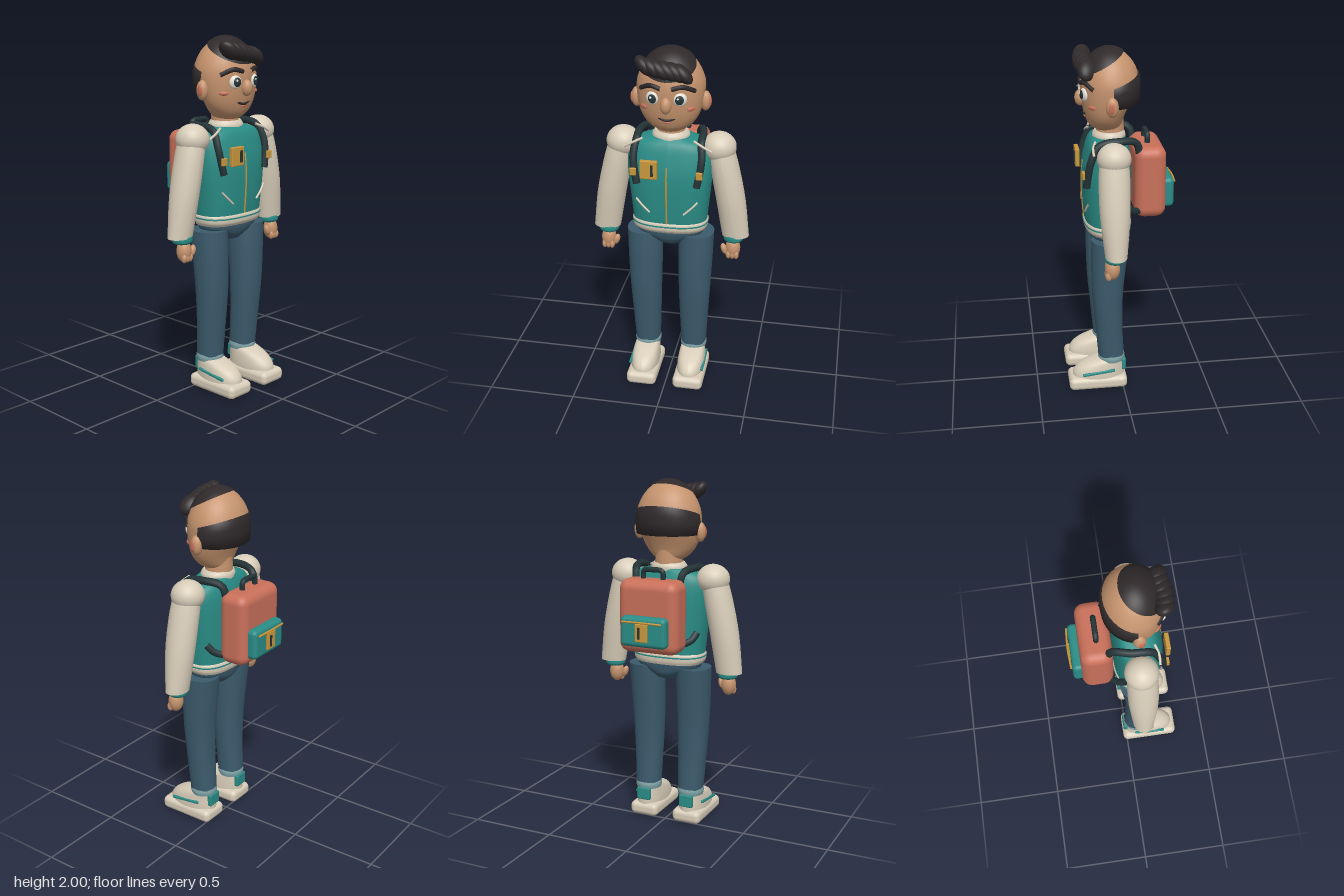
import * as THREE from 'three';
import { RoundedBoxGeometry } from 'three/addons/geometries/RoundedBoxGeometry.js';

const paint = (name, color, side = THREE.FrontSide) => {
  const m = new THREE.MeshStandardMaterial({ color, side });
  m.name = name;
  return m;
};
const V = (p) => new THREE.Vector3(...p);

// Smooth stack of horizontal cross-sections, bottom to top: [y, centreX, halfWidth, zFront, zBack]
function loft(rings, power = 2, steps = 4, seg = 32) {
  const a = new THREE.CatmullRomCurve3(rings.map((r) => V([r[1], r[0], r[2]])), false, 'catmullrom', 0.5);
  const b = new THREE.CatmullRomCurve3(rings.map((r) => V([r[3], r[4], 0])), false, 'catmullrom', 0.5);
  const n = (rings.length - 1) * steps, pos = [], idx = [];
  const bend = (v) => Math.sign(v) * Math.abs(v) ** (2 / power);
  const addRing = (t) => {
    const p = a.getPoint(t), q = b.getPoint(t);
    for (let j = 0; j <= seg; j++) {
      const u = (j % seg) / seg * Math.PI * 2;
      pos.push(p.x + p.z * bend(Math.sin(u)), p.y, (q.x + q.y) / 2 + (q.x - q.y) / 2 * bend(Math.cos(u)));
    }
    return [p.x, p.y, (q.x + q.y) / 2];
  };
  for (let i = 0; i <= n; i++) addRing(i / n);
  const w = seg + 1;
  for (let i = 0; i < n; i++) for (let j = 0; j < seg; j++) {
    const k = i * w + j;
    idx.push(k, k + 1, k + w + 1, k, k + w + 1, k + w);
  }
  for (const t of [0, 1]) {
    const start = pos.length / 3;
    pos.push(...addRing(t));
    for (let j = 0; j < seg; j++) {
      const k = start + j;
      idx.push(start + w, t ? k : k + 1, t ? k + 1 : k);
    }
  }
  const g = new THREE.BufferGeometry();
  g.setAttribute('position', new THREE.Float32BufferAttribute(pos, 3));
  g.setIndex(idx);
  g.computeVertexNormals();
  return g;
}

const box = (w, h, d, r = 0.01) => new RoundedBoxGeometry(w, h, d, 3, r);
const ball = (x, y, z) => new THREE.SphereGeometry(1, 28, 18).scale(x, y, z);
const tube = (pts, r) => new THREE.TubeGeometry(new THREE.CatmullRomCurve3(pts.map(V)), 24, r, 8);

export function createModel() {
  const root = new THREE.Group();
  const skin = paint('skin', 0xc6946e);
  const hair = paint('hair', 0x2f292a, THREE.DoubleSide);
  const teal = paint('teal', 0x2a8c86);
  const cream = paint('cream', 0xd8cdb9);
  const denim = paint('denim', 0x3c5b6d);
  const pale = paint('pale denim', 0x7fa3a6);
  const coral = paint('coral', 0xc9705a);
  const gold = paint('gold', 0xc9973c);
  const dark = paint('dark strap', 0x243437, THREE.DoubleSide);
  const white = paint('eye white', 0xeeeae0);

  const add = (name, geo, mat, p = [0, 0, 0], r = [0, 0, 0]) => {
    const m = new THREE.Mesh(geo, mat);
    m.name = name;
    m.position.set(...p);
    m.rotation.set(...r);
    root.add(m);
    return m;
  };

  // Head and neck
  add('head', loft([
    [1.55, 0, 0.065, 0.13, 0], [1.58, 0, 0.11, 0.168, -0.015], [1.63, 0, 0.15, 0.19, -0.03],
    [1.7, 0, 0.175, 0.205, -0.06], [1.8, 0, 0.186, 0.213, -0.108], [1.87, 0, 0.168, 0.2, -0.098],
    [1.93, 0, 0.132, 0.168, -0.065], [1.975, 0, 0.08, 0.12, -0.015], [2, 0, 0.003, 0.053, 0.047],
  ]), skin);
  add('neck', new THREE.CylinderGeometry(0.075, 0.08, 0.14, 28), skin, [0, 1.545, 0.05]);
  add('nose', ball(0.03, 0.045, 0.032), skin, [0, 1.725, 0.212]);
  add('mouth', tube([[-0.045, 1.648, 0.184], [0, 1.637, 0.195], [0.045, 1.648, 0.184]], 0.007), hair);
  add('lowerLip', ball(0.022, 0.007, 0.006), coral, [0, 1.625, 0.19]);

  // Crown hair, back hair and swept quiff
  const crown = new THREE.SphereGeometry(1, 36, 14, 0, Math.PI * 2, 0, 0.83);
  add('crownHair', crown.rotateX(0.375).scale(0.191, 0.235, 0.172), hair, [0, 1.768, 0.052]);
  const back = new THREE.LatheGeometry(
    [[0.7, 0], [0.97, 0], [1, 0.07], [1, 0.11], [0.96, 0.165], [0.85, 0.168]].map((p) => new THREE.Vector2(...p)),
    32, Math.PI / 2, Math.PI).scale(0.193, 1, 0.169);
  const bp = back.attributes.position;
  for (let i = 0; i < bp.count; i++) bp.setY(i, bp.getY(i) * (1 - (bp.getZ(i) + 0.169) * 1.9));
  back.computeVertexNormals();
  add('backHair', back, hair, [0, 1.7, 0.052]);
  for (let i = 0; i < 6; i++) {
    const x = -0.115 + i * 0.04, y = 1.93 - i * 0.007;
    add('quiffLock', ball(0.036, 0.066, 0.05), hair, [x, y, 0.19 + 0.008 * Math.sin(i)], [-0.35, 0, 0.8]);
  }

  // Torso, collar, hem and trousers top
  add('vest', loft([
    [0.98, 0, 0.205, 0.195, -0.055], [1.12, 0, 0.218, 0.208, -0.06], [1.3, 0, 0.235, 0.212, -0.062],
    [1.42, 0, 0.237, 0.19, -0.055], [1.48, 0, 0.205, 0.17, -0.04], [1.51, 0, 0.12, 0.145, -0.03],
  ], 2.5), teal);
  add('collar', loft([[1.495, 0, 0.105, 0.15, -0.035], [1.52, 0, 0.103, 0.148, -0.035], [1.54, 0, 0.09, 0.135, -0.025]]), cream);
  add('hem', loft([[0.965, 0, 0.2, 0.19, -0.055], [0.985, 0, 0.212, 0.203, -0.062], [1.015, 0, 0.214, 0.205, -0.063], [1.028, 0, 0.208, 0.2, -0.058]], 2.5), cream);
  add('hemStripe', loft([[1.004, 0, 0.216, 0.207, -0.065], [1.012, 0, 0.216, 0.207, -0.065]], 2.5), teal);
  add('hips', loft([[0.87, 0, 0.07, 0.13, 0], [0.9, 0, 0.105, 0.16, -0.03], [0.94, 0, 0.185, 0.175, -0.04], [0.985, 0, 0.195, 0.18, -0.045]], 2.4), denim);
  add('zipper', tube([[0, 1.03, 0.202], [0, 1.13, 0.209], [0, 1.25, 0.213], [0, 1.37, 0.203]], 0.005), gold);

  // Chest badge
  add('chestBadge', box(0.095, 0.105, 0.024, 0.004), gold, [-0.093, 1.362, 0.228]);
  add('badgeStripe', new THREE.BoxGeometry(0.013, 0.065, 0.009), dark, [-0.073, 1.362, 0.243]);

  // Backpack
  add('backpack', box(0.36, 0.41, 0.175, 0.055), coral, [0, 1.267, -0.157]);
  add('packPocket', box(0.275, 0.17, 0.07, 0.025), teal, [0, 1.195, -0.258]);
  add('packHandle', tube([[-0.06, 1.46, -0.15], [-0.055, 1.515, -0.15], [0, 1.522, -0.15], [0.055, 1.515, -0.15], [0.06, 1.46, -0.15]], 0.015), dark);
  add('pocketZipper', tube([[-0.12, 1.25, -0.298], [0, 1.253, -0.304], [0.12, 1.25, -0.298]], 0.006), gold);
  add('pocketBadge', box(0.075, 0.1, 0.014, 0.004), gold, [0, 1.195, -0.3]);
  add('pocketBadgeStripe', new THREE.BoxGeometry(0.012, 0.065, 0.008), dark, [0.012, 1.195, -0.31]);

  for (const s of [-1, 1]) {
    // Face details
    add('eye', ball(0.036, 0.036, 0.016), white, [s * 0.075, 1.76, 0.198], [0, s * 0.35, 0]);
    add('iris', ball(0.023, 0.025, 0.008), dark, [s * 0.073, 1.76, 0.211], [0, s * 0.3, 0]);
    add('eyeGlint', ball(0.007, 0.007, 0.004), white, [s * 0.073 - 0.008, 1.768, 0.218]);
    add('eyebrow', tube([[s * 0.028, 1.815, 0.21], [s * 0.085, 1.827, 0.195], [s * 0.145, 1.797, 0.15]], 0.013), hair);
    add('cheek', ball(0.026, 0.012, 0.008), coral, [s * 0.128, 1.7, 0.163], [0, s * 0.75, 0]);
    add('ear', ball(0.03, 0.055, 0.034), skin, [s * 0.188, 1.715, 0.06]);
    add('innerEar', ball(0.008, 0.03, 0.016), coral, [s * 0.213, 1.715, 0.066]);

    // Arms
    add('shoulder', ball(0.094, 0.085, 0.092), cream, [s * 0.267, 1.457, 0.062]);
    add('sleeve', loft([
      [0.93, s * 0.37, 0.076, 0.125, 0.005], [1.15, s * 0.338, 0.082, 0.148, -0.015],
      [1.34, s * 0.3, 0.08, 0.15, -0.02], [1.46, s * 0.272, 0.075, 0.14, -0.015],
    ]), cream);
    add('wristCuff', loft([[0.898, s * 0.36, 0.046, 0.115, 0.025], [0.91, s * 0.36, 0.056, 0.127, 0.015], [0.935, s * 0.36, 0.056, 0.127, 0.015], [0.95, s * 0.36, 0.046, 0.115, 0.025]]), teal);
    add('hand', ball(0.042, 0.062, 0.042), skin, [s * 0.36, 0.856, 0.085]);
    add('thumb', ball(0.018, 0.034, 0.02), skin, [s * 0.312, 0.852, 0.1], [0, 0, s * 0.35]);
    for (let i = 0; i < 3; i++) add('finger', ball(0.015, 0.026, 0.018), skin, [s * (0.338 + i * 0.022), 0.822, 0.108]);

    // Vest piping
    add('shoulderPiping', tube([[s * 0.14, 1.512, 0.148], [s * 0.19, 1.49, 0.165], [s * 0.24, 1.463, 0.165]], 0.007), cream);
    add('pocketPiping', tube([[s * 0.095, 1.095, 0.203], [s * 0.135, 1.132, 0.199], [s * 0.172, 1.17, 0.189]], 0.006), cream);

    // Backpack straps and buckles
    add('strap', tube([[s * 0.13, 1.4, -0.1], [s * 0.145, 1.5, -0.075], [s * 0.175, 1.52, 0.02], [s * 0.178, 1.5, 0.13],
      [s * 0.188, 1.42, 0.175], [s * 0.18, 1.34, 0.192], [s * 0.165, 1.265, 0.2]], 0.021), dark);
    add('lowerStrap', tube([[s * 0.14, 1.1, -0.1], [s * 0.185, 1.12, -0.055], [s * 0.205, 1.16, -0.015]], 0.02), dark);
    add('buckle', box(0.036, 0.042, 0.016, 0.004), gold, [s * 0.182, 1.34, 0.218]);

    // Legs
    add('leg', loft([
      [0.19, s * 0.138, 0.073, 0.14, -0.01], [0.4, s * 0.14, 0.083, 0.158, 0], [0.6, s * 0.143, 0.092, 0.174, -0.003],
      [0.8, s * 0.146, 0.098, 0.178, -0.022], [0.94, s * 0.15, 0.098, 0.174, -0.038],
    ], 2.2), denim);
    add('trouserCuff', loft([[0.168, s * 0.138, 0.074, 0.14, -0.01], [0.19, s * 0.138, 0.078, 0.144, -0.014], [0.208, s * 0.138, 0.075, 0.141, -0.011]]), pale);

    // Shoes
    add('sole', box(0.176, 0.078, 0.342, 0.03), cream, [s * 0.138, 0.039, 0.148]);
    add('shoeUpper', loft([
      [0.06, s * 0.138, 0.08, 0.295, -0.012], [0.1, s * 0.138, 0.08, 0.29, -0.012], [0.14, s * 0.138, 0.076, 0.255, -0.01],
      [0.17, s * 0.138, 0.07, 0.19, -0.006], [0.188, s * 0.138, 0.06, 0.13, 0],
    ], 2.3), cream);
    add('heelTab', box(0.085, 0.075, 0.03, 0.008), teal, [s * 0.138, 0.138, -0.003]);
    add('shoeStripe', box(0.016, 0.016, 0.19, 0.005), teal, [s * 0.215, 0.112, 0.147], [0.12, 0, 0]);
  }
  return root;
}
